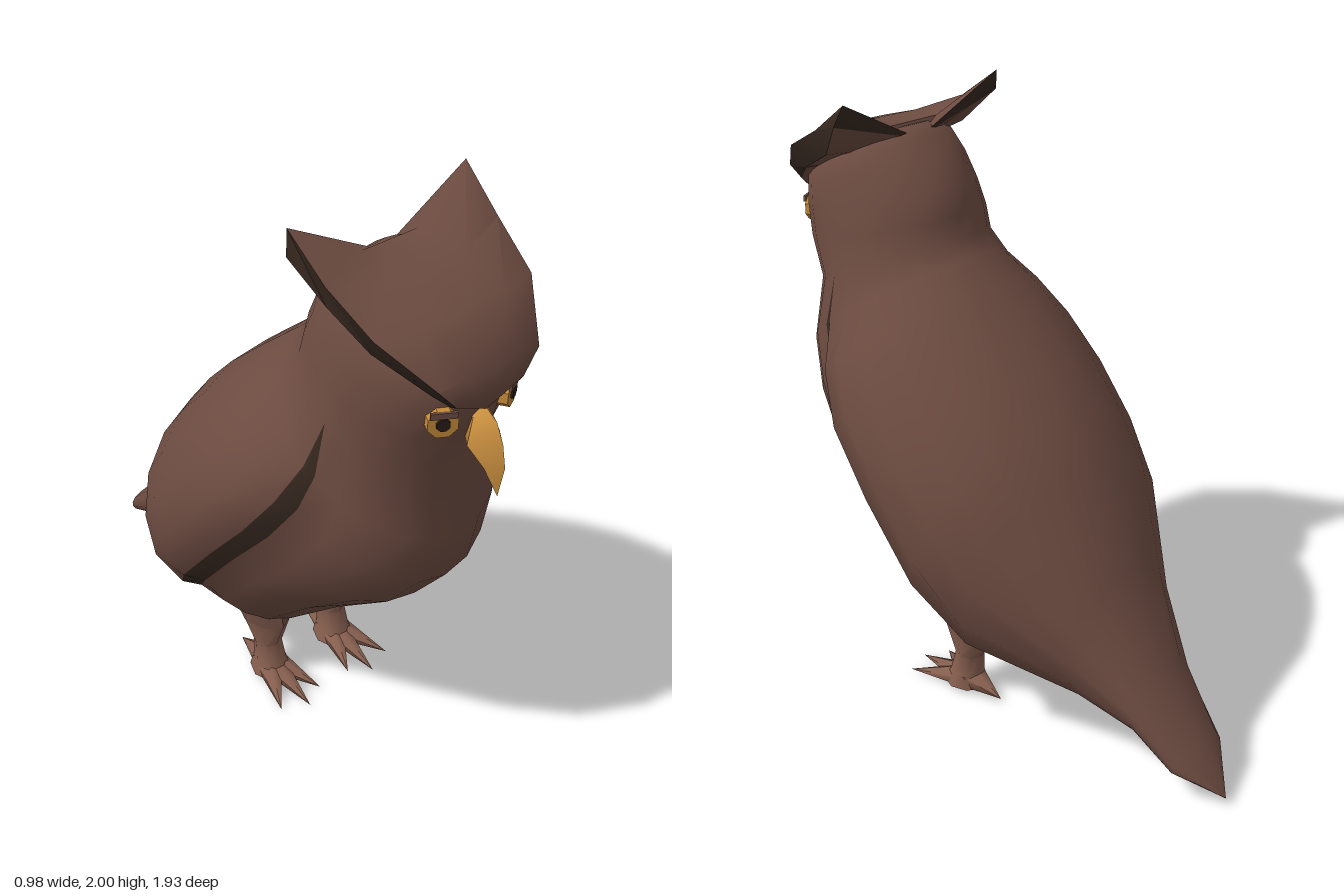
import * as THREE from 'three';
import { toCreasedNormals } from 'three/addons/utils/BufferGeometryUtils.js';

const mat = (name, color) => {
  const m = new THREE.MeshStandardMaterial({ color });
  m.name = name;
  return m;
};

// Skins closed rings of [x, y, z]; columns listed in darkCols use material 1
function loft(rings, darkCols = [], crease = 0.9) {
  const sides = [[], []];
  const same = (p, q) => Math.hypot(p[0] - q[0], p[1] - q[1], p[2] - q[2]) < 1e-5;
  const tri = (out, p, q, r) => {
    if (!same(p, q) && !same(q, r) && !same(p, r)) out.push(...p, ...q, ...r);
  };
  const n = rings[0].length;
  for (let i = 0; i < rings.length - 1; i++) {
    for (let j = 0; j < n; j++) {
      const k = (j + 1) % n, out = sides[darkCols.includes(j) ? 1 : 0];
      const a = rings[i][j], b = rings[i][k], c = rings[i + 1][k], d = rings[i + 1][j];
      tri(out, a, b, c);
      tri(out, a, c, d);
    }
  }
  const g = new THREE.BufferGeometry();
  g.setAttribute('position', new THREE.Float32BufferAttribute([...sides[0], ...sides[1]], 3));
  const n0 = sides[0].length / 3, n1 = sides[1].length / 3;
  g.addGroup(0, n0, 0);
  if (n1) g.addGroup(n0, n1, 1);
  return toCreasedNormals(g, crease);
}

// Closes a half ring by mirroring it across x = 0
const mirrorRing = (half) =>
  [...half, ...half.slice(1, -1).reverse().map(([x, y, z]) => [-x, y, z])];

// Elliptical ring spanning a front and a back point
function oval(zF, yF, zB, yB, w, n, cx = 0) {
  return Array.from({ length: n }, (_, j) => {
    const a = (j / n) * Math.PI * 2, t = (1 - Math.cos(a)) / 2;
    return [cx + w * Math.sin(a), yF + (yB - yF) * t, zF + (zB - zF) * t];
  });
}

// Body ring: breast curve up to the wing edge, a step outward, then the back
function bodyRing([zF, yF, zB, yB, w, W, tEdge]) {
  const half = [];
  const put = (a, width) => {
    const t = (1 - Math.cos(a)) / 2;
    half.push([width * Math.sin(a), yF + (yB - yF) * t, zF + (zB - zF) * t]);
  };
  const inner = Math.acos(1 - 2 * tEdge);
  const outer = Math.acos(1 - 2 * (tEdge + (W > w ? 0.055 : 0)));
  for (let k = 0; k <= 5; k++) put((inner * k) / 5, w);
  for (let k = 0; k <= 6; k++) put(outer + ((Math.PI - outer) * k) / 6, k ? W : (w + 2 * W) / 3);
  half[0][0] = half[12][0] = 0;
  return mirrorRing(half);
}

export function createModel() {
  const owl = new THREE.Group();
  owl.name = 'owl';
  const brown = mat('brown feathers', 0x6d4c41);
  const dark = mat('dark feather edge', 0x35271f);
  const tan = mat('tan legs', 0x875f4f);
  const gold = mat('golden beak', 0xc98f3f);
  const amber = mat('amber eye', 0xc48a3a);
  const black = mat('pupil', 0x2a1d18);

  const add = (name, geometry, material, parent = owl) => {
    const m = new THREE.Mesh(geometry, material);
    m.name = name;
    parent.add(m);
    return m;
  };

  // Tail, body, folded wings and head: zFront, yFront, zBack, yBack, width, wing width, edge
  const bodyRings = [
    [-0.965, 0.03, -0.965, 0.03, 0, 0, 0.3],
    [-0.82, 0.08, -0.85, 0.17, 0.115, 0.115, 0.3],
    [-0.68, 0.15, -0.67, 0.38, 0.15, 0.15, 0.2],
    [-0.46, 0.18, -0.52, 0.65, 0.23, 0.23, 0.12],
    [-0.08, 0.17, -0.36, 0.95, 0.35, 0.42, 0.19],
    [0.14, 0.25, -0.24, 1.1, 0.4, 0.48, 0.3],
    [0.4, 0.5, -0.12, 1.23, 0.41, 0.49, 0.34],
    [0.64, 0.7, 0, 1.34, 0.385, 0.48, 0.39],
    [0.77, 0.87, 0.1, 1.43, 0.345, 0.425, 0.42],
    [0.81, 1.06, 0.18, 1.5, 0.32, 0.335, 0.43],
    [0.78, 1.31, 0.23, 1.55, 0.28, 0.28, 0.45],
    [0.84, 1.45, 0.24, 1.62, 0.275, 0.275, 0.45],
    [0.87, 1.56, 0.27, 1.7, 0.26, 0.26, 0.45],
    [0.86, 1.65, 0.33, 1.78, 0.25, 0.25, 0.45],
    [0.76, 1.74, 0.4, 1.845, 0.22, 0.22, 0.45],
    [0.7, 1.79, 0.44, 1.875, 0.14, 0.14, 0.45],
    [0.56, 1.85, 0.56, 1.85, 0, 0, 0.45],
  ].map(bodyRing);
  add('bodyAndWings', loft(bodyRings, [5, 18]), [brown, dark]);

  // Brow hood with ear tufts: centre, middle, edge, lower edge, underside
  const hood = [
    [[0, 1.55, 0.88], [0, 1.55, 0.88], [0, 1.55, 0.88], [0, 1.55, 0.88], [0, 1.55, 0.88]],
    [[0, 1.62, 0.9], [0.06, 1.615, 0.9], [0.12, 1.61, 0.89], [0.11, 1.59, 0.86], [0, 1.57, 0.8]],
    [[0, 1.7, 0.9], [0.09, 1.7, 0.9], [0.18, 1.68, 0.88], [0.165, 1.64, 0.84], [0, 1.62, 0.78]],
    [[0, 1.81, 0.78], [0.14, 1.81, 0.77], [0.28, 1.8, 0.73], [0.255, 1.73, 0.69], [0, 1.7, 0.7]],
    [[0, 1.86, 0.62], [0.14, 1.86, 0.61], [0.305, 1.89, 0.56], [0.285, 1.81, 0.54], [0, 1.76, 0.55]],
    [[0, 1.88, 0.46], [0.1, 1.88, 0.46], [0.315, 2, 0.405], [0.335, 1.93, 0.43], [0, 1.8, 0.46]],
  ].map(mirrorRing);
  hood.push(hood[0].map(() => [0, 1.83, 0.43]));
  add('browAndEarTufts', loft(hood, [2, 5], 1.1), [brown, dark]);

  // Hooked, keeled beak
  add('beak', loft([
    oval(0.95, 1.29, 0.95, 1.29, 0, 4),
    oval(0.97, 1.4, 0.88, 1.38, 0.036, 4),
    oval(0.955, 1.47, 0.8, 1.43, 0.06, 4),
    oval(0.925, 1.53, 0.8, 1.52, 0.03, 4),
    oval(0.87, 1.56, 0.87, 1.56, 0, 4),
  ]), [gold]);

  for (const s of [1, -1]) {
    const side = s > 0 ? 'left' : 'right';

    // Eye: amber disc with a thin pupil and a lid across the top
    const eye = new THREE.Group();
    eye.name = side + 'Eye';
    eye.position.set(s * 0.127, 1.535, 0.85);
    eye.rotation.y = s * 0.5;
    owl.add(eye);
    const disc = (r, h, z) => new THREE.CylinderGeometry(r * 0.92, r, h, 8)
      .rotateX(Math.PI / 2).rotateZ(Math.PI / 8).translate(0, 0, z);
    add('iris', toCreasedNormals(disc(0.05, 0.06, -0.03), 0.7), amber, eye);
    add('pupil', disc(0.022, 0.008, 0.002), black, eye);
    add('eyelid', new THREE.BoxGeometry(0.075, 0.02, 0.009).translate(0, 0.033, 0.003), brown, eye);

    // Leg: feathered thigh, shank, foot and four toes
    const leg = new THREE.Group();
    leg.name = side + 'Leg';
    owl.add(leg);
    const cx = s * 0.138;
    const knee = oval(0.15, 0.255, -0.07, 0.245, 0.077, 8, cx);
    add('thigh', loft([knee, oval(0.13, 0.36, -0.08, 0.36, 0.08, 8, cx)]), [brown], leg);
    add('shank', loft([
      oval(0.07, 0.012, 0.07, 0.012, 0, 8, cx),
      oval(0.16, 0.018, 0.0, 0.018, 0.07, 8, cx),
      oval(0.13, 0.07, 0.015, 0.07, 0.055, 8, cx),
      oval(0.11, 0.14, 0.01, 0.14, 0.048, 8, cx),
      knee,
    ]), [tan], leg);
    for (const [angle, length] of [[0.42, 0.23], [0, 0.25], [-0.36, 0.22], [Math.PI, 0.15]]) {
      const toe = new THREE.ConeGeometry(0.045, length, 6).rotateX(Math.PI / 2)
        .scale(1.25, 0.9, 1).translate(0, 0, length / 2).rotateX(0.14);
      const m = add('toe', toe, tan, leg);
      m.position.set(cx, 0.042, 0.055);
      m.rotation.y = s * angle;
    }
  }
  return owl;
}
